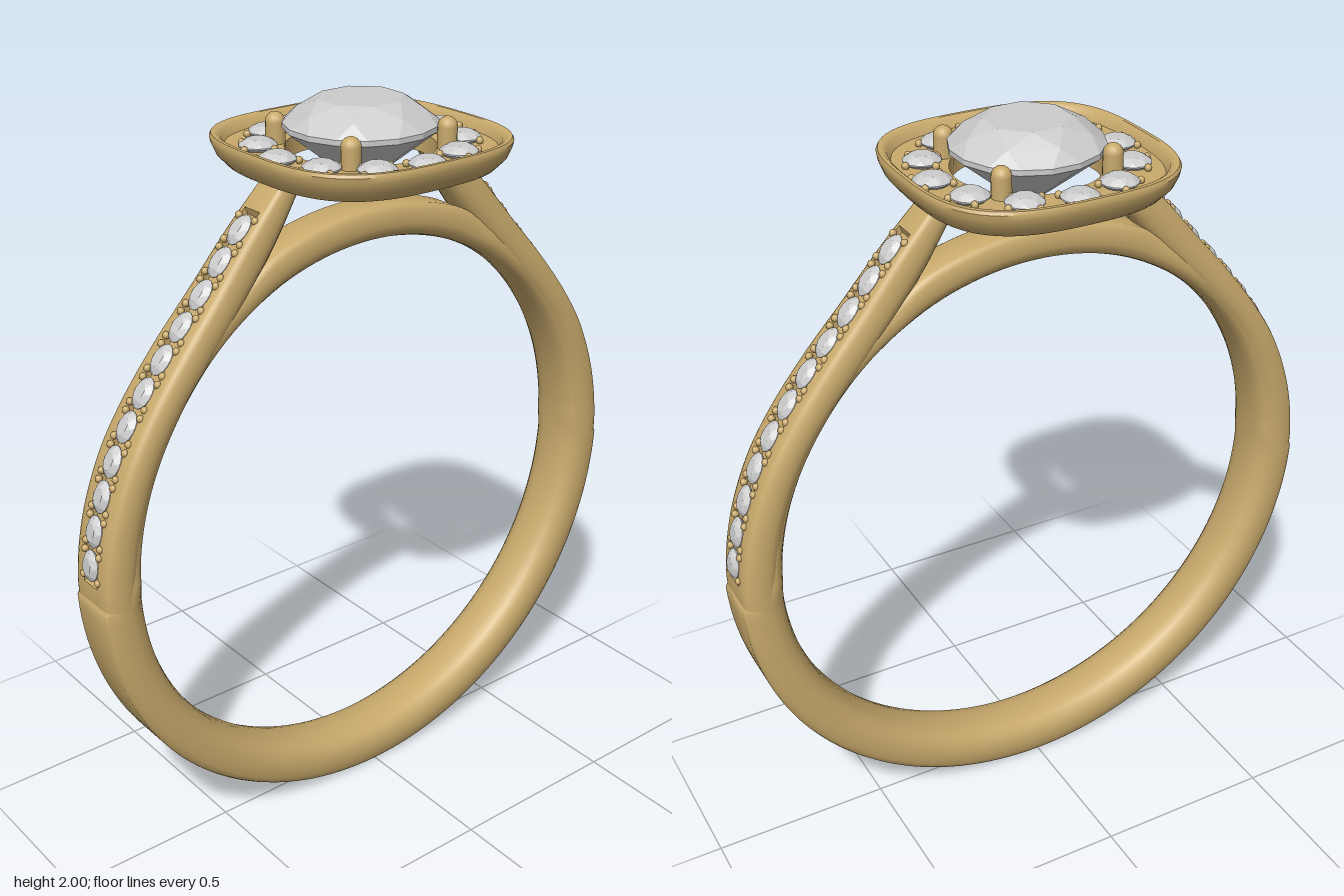
import * as THREE from 'three';
import { toCreasedNormals } from 'three/addons/utils/BufferGeometryUtils.js';
import { ConvexGeometry } from 'three/addons/geometries/ConvexGeometry.js';

const gold = new THREE.MeshStandardMaterial({ color: 0xc9aa6c });
const stone = new THREE.MeshStandardMaterial({ color: 0xcccccc, flatShading: true });
const { smoothstep, lerp } = THREE.MathUtils;
const CENTRE = 0.875; // height of the finger hole centre

function add(parent, name, geometry, material, x = 0, y = 0, z = 0) {
  const mesh = new THREE.Mesh(geometry, material);
  mesh.name = name;
  mesh.position.set(x, y, z);
  parent.add(mesh);
  return mesh;
}

// Skin a series of equal closed cross-sections
function loft(rings, closed) {
  const n = rings[0].length, m = rings.length, index = [];
  for (let i = 0; i < (closed ? m : m - 1); i++) {
    for (let j = 0; j < n; j++) {
      const k = (j + 1) % n, p = i * n, q = ((i + 1) % m) * n;
      index.push(p + j, q + k, p + k, p + j, q + j, q + k);
    }
  }
  const g = new THREE.BufferGeometry();
  g.setAttribute('position', new THREE.Float32BufferAttribute(rings.flat(2), 3));
  g.setIndex(index);
  return toCreasedNormals(g, 0.7);
}

// Rounded band section between an inner and an outer point, with an optional groove
const HALF = [[0, 0], [0.4, 0.02], [0.7, 0.09], [0.9, 0.22], [1, 0.42], [1, 0.62], [0.96, 0.82], [0.86, 0.95], [0.72, 1]];
function section(inner, outer, halfWidth, groove = null) {
  const half = HALF.map(([u, v]) => [u * halfWidth, v]);
  if (groove !== null) half.push([0.031, 1], [0.031, 1 - groove / inner.distanceTo(outer)]);
  const mirrored = half.slice(1).reverse().map(([x, v]) => [-x, v]);
  return [...half, ...mirrored].map(([x, v]) => [x, lerp(inner.y, outer.y, v), lerp(inner.z, outer.z, v)]);
}

// Round brilliant of radius 1, girdle at y = 0
function brilliant() {
  const pts = [new THREE.Vector3(0, -0.8, 0)];
  const ring = (n, r, y, turn) => {
    for (let i = 0; i < n; i++) {
      const a = ((i + turn) / n) * Math.PI * 2;
      pts.push(new THREE.Vector3(r * Math.cos(a), y, r * Math.sin(a)));
    }
  };
  ring(8, 0.56, 0.35, 0.5);
  ring(8, 0.82, 0.21, 0);
  ring(16, 1, 0.04, 0.5);
  ring(16, 1, -0.03, 0.5);
  ring(8, 0.3, -0.59, 0);
  return new ConvexGeometry(pts);
}

// Full band, kept lower beneath the shoulders
function bandGeometry() {
  const rings = [], N = 160;
  for (let i = 0; i < N; i++) {
    const a = (i / N) * Math.PI * 2 - Math.PI / 2;
    const s = Math.sin(a);
    const rOut = 0.875 - 0.05 * smoothstep(s, -0.03, 0.03) + 0.02 * smoothstep(s, 0.86, 0.94);
    const width = 0.087 - 0.007 * smoothstep(s, -0.03, 0.1) - 0.018 * smoothstep(s, 0.5, 1);
    const at = r => new THREE.Vector3(0, CENTRE + r * s, r * Math.cos(a));
    rings.push(section(at(0.75), at(rOut), width));
  }
  return loft(rings, true);
}

// Shoulder stations: outer z, y, inner z, y, half width
const STATIONS = [
  [0.866, 0.8, 0.757, 0.8, 0.087], [0.868, 0.9, 0.757, 0.9, 0.087], [0.84, 1.06, 0.738, 1.03, 0.087],
  [0.778, 1.22, 0.69, 1.18, 0.087], [0.705, 1.34, 0.615, 1.31, 0.084], [0.605, 1.47, 0.52, 1.42, 0.079],
  [0.5, 1.59, 0.41, 1.545, 0.071], [0.385, 1.725, 0.3, 1.68, 0.061], [0.275, 1.84, 0.205, 1.83, 0.05],
];

function shoulder(gem, bead) {
  const group = new THREE.Group();
  const curve = k => new THREE.CatmullRomCurve3(STATIONS.map(s => new THREE.Vector3(0, s[k + 1], s[k])));
  const outer = curve(0), inner = curve(2);
  const rings = [], N = 80, last = STATIONS.length - 1;
  for (let i = 0; i <= N; i++) {
    const t = i / N, f = t * last, k = Math.min(Math.floor(f), last - 1);
    const width = lerp(STATIONS[k][4], STATIONS[k + 1][4], f - k);
    const depth = t > 0.13 && t < 0.925 ? 0.02 : 0;
    rings.push(section(inner.getPoint(t), outer.getPoint(t), width, depth));
  }
  add(group, 'shoulderArm', loft(rings, false), gold);

  // Row of stones held by small beads on the channel edges
  const COUNT = 11, at = i => lerp(0.125, 0.875, i / (COUNT - 1));
  for (let i = 0; i < COUNT; i++) {
    const p = outer.getPointAt(at(i)), t = outer.getTangentAt(at(i));
    const m = add(group, 'shoulderStone', gem, stone, 0, p.y, p.z);
    m.scale.set(0.034, 0.042, 0.043);
    m.rotation.x = Math.atan2(t.y, -t.z);
    for (const d of [-0.25, 0.25]) {
      const q = outer.getPointAt(at(i + d * 1.5));
      for (const x of [-0.034, 0.034]) add(group, 'shoulderBead', bead, gold, x, q.y, q.z);
    }
  }
  return group;
}

// Cushion-shaped halo plate with a raised rim and a round opening
function haloGeometry() {
  const profile = [[0, 1.825], [0.3, 1.82], [0.55, 1.821], [0.78, 1.832], [0.92, 1.858], [0.985, 1.885], [1, 1.9],
    [0.975, 1.908], [0.91, 1.908], [0.85, 1.9], [0.8, 1.878], [0, 1.875]];
  const rings = [], N = 96, HOLE = 0.195, P = 3.1;
  for (let i = 0; i < N; i++) {
    const a = (i / N) * Math.PI * 2, c = Math.cos(a), s = -Math.sin(a);
    const edge = 0.343 / Math.pow(Math.abs(c) ** P + Math.abs(s) ** P, 1 / P);
    rings.push(profile.map(([k, y]) => {
      const r = lerp(HOLE, edge, k);
      return [r * c, y, r * s];
    }));
  }
  return loft(rings, true);
}

export function createModel() {
  const model = new THREE.Group();
  model.name = 'ring';
  const gem = brilliant();
  const bead = new THREE.SphereGeometry(0.01, 10, 8);

  add(model, 'band', bandGeometry(), gold);
  for (const [name, turn] of [['frontShoulder', 0], ['backShoulder', Math.PI]]) {
    const s = shoulder(gem, bead);
    s.name = name;
    s.rotation.y = turn;
    model.add(s);
  }

  const head = new THREE.Group();
  head.name = 'head';
  model.add(head);
  add(head, 'halo', haloGeometry(), gold);
  add(head, 'centreStone', gem, stone, 0, 1.93, 0).scale.setScalar(0.2);

  // Claws around the centre stone
  const claw = new THREE.CapsuleGeometry(0.026, 0.075, 6, 14);
  for (const x of [-0.155, 0.155]) {
    for (const z of [-0.155, 0.155]) add(head, 'claw', claw, gold, x, 1.892, z);
  }

  // Ring of halo stones, each with four beads
  for (let i = 0; i < 12; i++) {
    const cluster = new THREE.Group();
    cluster.name = 'haloCluster';
    cluster.rotation.y = (i / 12) * Math.PI * 2;
    add(cluster, 'haloStone', gem, stone, 0.262, 1.886, 0).scale.setScalar(0.05);
    for (const x of [-0.038, 0.038]) {
      for (const z of [-0.038, 0.038]) add(cluster, 'haloBead', bead, gold, 0.262 + x, 1.884, z);
    }
    head.add(cluster);
  }
  return model;
}
